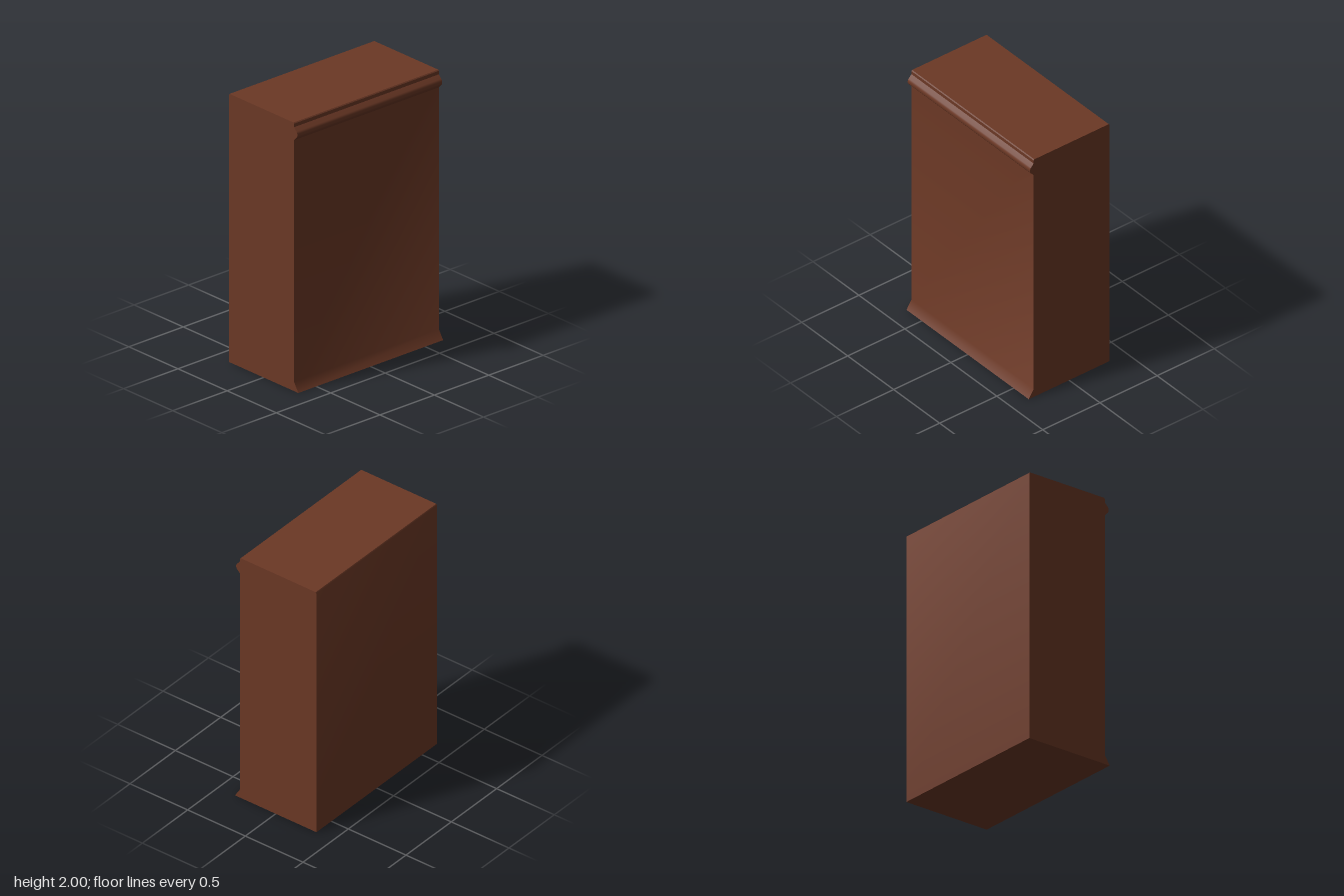
import * as THREE from 'three';
import { toCreasedNormals } from 'three/addons/utils/BufferGeometryUtils.js';

const WIDTH = 1.33;

// Extrude a (z, y) profile across the full width
function addProfile(group, name, shape, material) {
  let geometry = new THREE.ExtrudeGeometry(shape, { depth: WIDTH, bevelEnabled: false, curveSegments: 8 });
  geometry.translate(0, 0, -WIDTH / 2);
  geometry.rotateY(-Math.PI / 2);
  geometry = toCreasedNormals(geometry, 0.6);
  const mesh = new THREE.Mesh(geometry, material);
  mesh.name = name;
  group.add(mesh);
}

export function createModel() {
  const group = new THREE.Group();
  group.name = 'panelBlock';
  const brown = new THREE.MeshStandardMaterial({ color: 0x6b3825 });
  brown.name = 'reddish brown';

  // Body with a flared foot and narrow chamfers on the top edges
  const body = new THREE.Shape([
    [-0.353, 0], [0.353, 0], [0.31, 0.068], [0.31, 1.993], [0.304, 2], [-0.347, 2], [-0.353, 1.99],
  ].map(([z, y]) => new THREE.Vector2(z, y)));
  addProfile(group, 'body', body, brown);

  // Rounded moulding below the top front edge
  const moulding = new THREE.Shape();
  moulding.moveTo(0.3, 1.87);
  moulding.lineTo(0.31, 1.87);
  moulding.lineTo(0.334, 1.895);
  moulding.bezierCurveTo(0.346, 1.905, 0.346, 1.93, 0.334, 1.942);
  moulding.lineTo(0.31, 1.967);
  moulding.lineTo(0.3, 1.967);
  addProfile(group, 'topMoulding', moulding, brown);

  return group;
}
